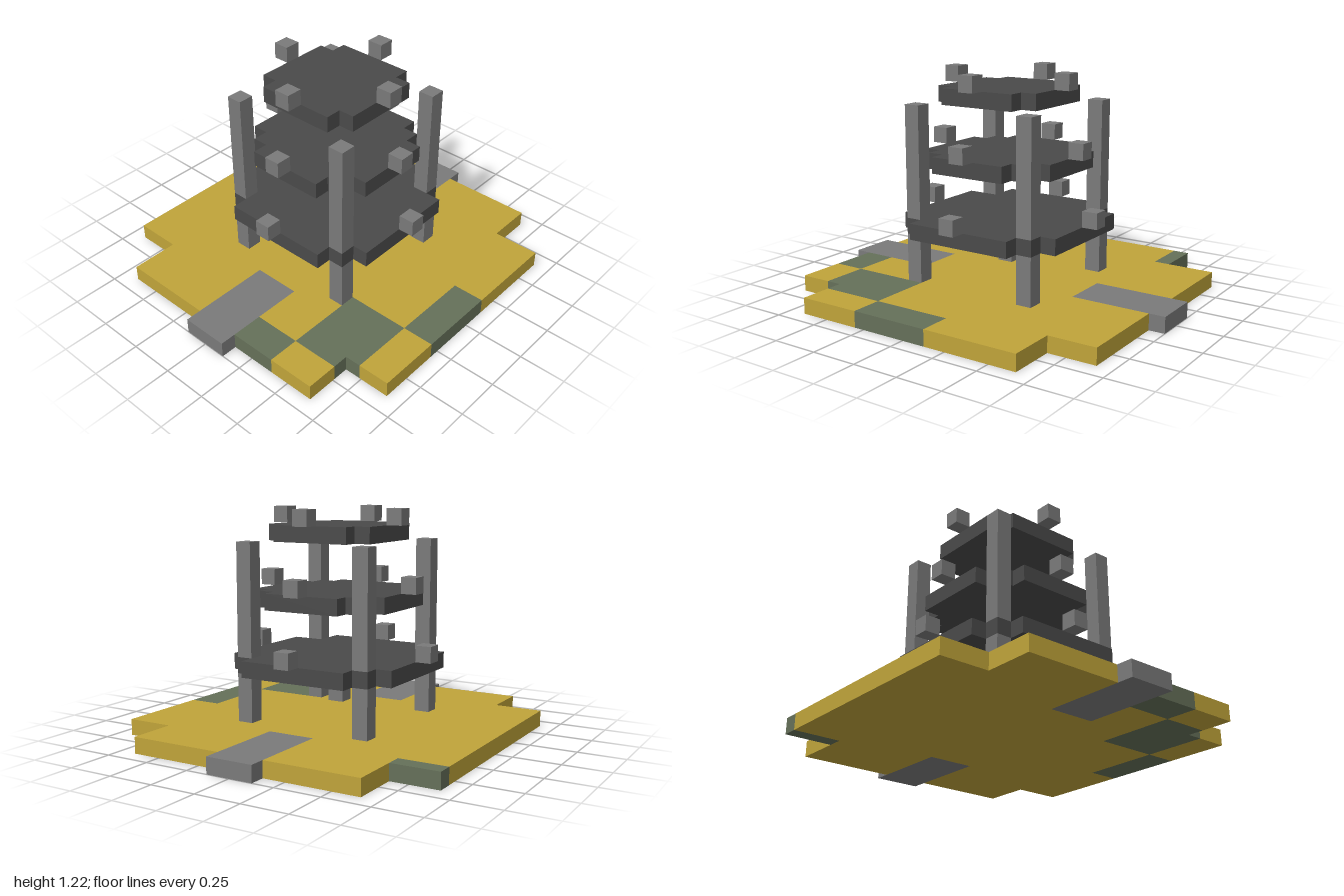
import * as THREE from 'three';

const U = 2 / 23; // one cell

export function createModel() {
  const model = new THREE.Group();
  model.name = 'tieredTower';

  const material = (name, color) => {
    const m = new THREE.MeshStandardMaterial({ color });
    m.name = name;
    return m;
  };
  const gold = material('gold', 0xc0a43a);
  const stone = material('stone', 0x7a7a7a);
  const slate = material('slate', 0x4a4a4a);
  const moss = material('moss', 0x657059);
  const lampGold = material('lampGold', 0xa88e3c);

  const add = (name, geometry, mat) => {
    const mesh = new THREE.Mesh(geometry, mat);
    mesh.name = name;
    model.add(mesh);
  };

  // Box given by its low and high corners, in cells
  const box = (name, mat, x0, x1, y0, y1, z0, z1) => {
    const g = new THREE.BoxGeometry((x1 - x0) * U, (y1 - y0) * U, (z1 - z0) * U);
    g.translate((x0 + x1) / 2 * U, (y0 + y1) / 2 * U, (z0 + z1) / 2 * U);
    add(name, g, mat);
  };

  // One-cell-thick slab from an (x, z) outline, in cells
  const slab = (name, mat, outline, y0) => {
    const shape = new THREE.Shape(outline.map(([x, z]) => new THREE.Vector2(x * U, z * U)));
    const g = new THREE.ExtrudeGeometry(shape, { depth: U, bevelEnabled: false });
    g.rotateX(Math.PI / 2);
    g.translate(0, (y0 + 1) * U, 0);
    add(name, g, mat);
  };

  // Ground plate, cut out around the paths and moss
  slab('groundPlate', gold, [
    [-7.5, -10.5], [-1.5, -10.5], [-1.5, -5.5], [1.5, -5.5], [1.5, -10.5], [7.5, -10.5],
    [7.5, -7.5], [10.5, -7.5], [10.5, -1.5], [8.5, -1.5], [8.5, 3.5], [4.5, 3.5],
    [4.5, 8.5], [1.5, 8.5], [1.5, 5.5], [-1.5, 5.5], [-1.5, 10.5], [-7.5, 10.5],
    [-7.5, 7.5], [-10.5, 7.5], [-10.5, -6.5], [-7.5, -6.5],
  ], 0);
  box('groundCornerSide', gold, 8.5, 10.5, 0, 1, 3.5, 7.5);
  box('groundCornerFront', gold, 4.5, 7.5, 0, 1, 8.5, 10.5);

  // Moss patches
  box('mossFront', moss, 1.5, 4.5, 0, 1, 8.5, 10.5);
  slab('mossCorner', moss, [
    [4.5, 3.5], [8.5, 3.5], [8.5, 7.5], [7.5, 7.5], [7.5, 8.5], [4.5, 8.5],
  ], 0);
  box('mossSide', moss, 8.5, 10.5, 0, 1, -1.5, 3.5);
  box('mossBack', moss, -10.5, -7.5, 0, 1, -7.5, -6.5);

  // Stone paths
  box('frontPath', stone, -1.5, 1.5, 0, 1, 5.5, 11.5);
  box('backPath', stone, -1.5, 1.5, 0, 1, -11.5, -5.5);

  // Posts, interrupted by the lowest roof
  for (const x of [-4, 4]) for (const z of [-4, 4]) {
    box('lowerPost', stone, x - 0.5, x + 0.5, 1, 4, z - 0.5, z + 0.5);
    box('upperPost', stone, x - 0.5, x + 0.5, 5, 12, z - 0.5, z + 0.5);
  }

  // Stepped round roofs: one corner of the outline, turned four times
  const tiers = [
    { y: 4, r: 5, corner: [[5.5, 3.5], [4.5, 3.5], [4.5, 4.5], [3.5, 4.5], [3.5, 5.5]] },
    { y: 8, r: 4, corner: [[4.5, 2.5], [3.5, 2.5], [3.5, 3.5], [2.5, 3.5], [2.5, 4.5]] },
    { y: 12, r: 3, corner: [[3.5, 2.5], [2.5, 2.5], [2.5, 3.5]] },
  ];
  for (const { y, r, corner } of tiers) {
    const outline = [];
    let points = corner;
    for (let i = 0; i < 4; i++) {
      outline.push(...points);
      points = points.map(([x, z]) => [-z, x]);
    }
    slab('roof', slate, outline, y);

    // Upturned tips just beyond each side
    const d = r + 1;
    for (const [x, z] of [[d, 0], [-d, 0], [0, d], [0, -d]]) {
      box('roofTip', stone, x - 0.5, x + 0.5, y + 1, y + 2, z - 0.5, z + 0.5);
    }
  }

  // Hanging lantern
  box('lanternTop', lampGold, -0.5, 0.5, 3, 4, -0.5, 0.5);
  box('lanternBottom', stone, -0.5, 0.5, 2, 3, -0.5, 0.5);

  return model;
}
